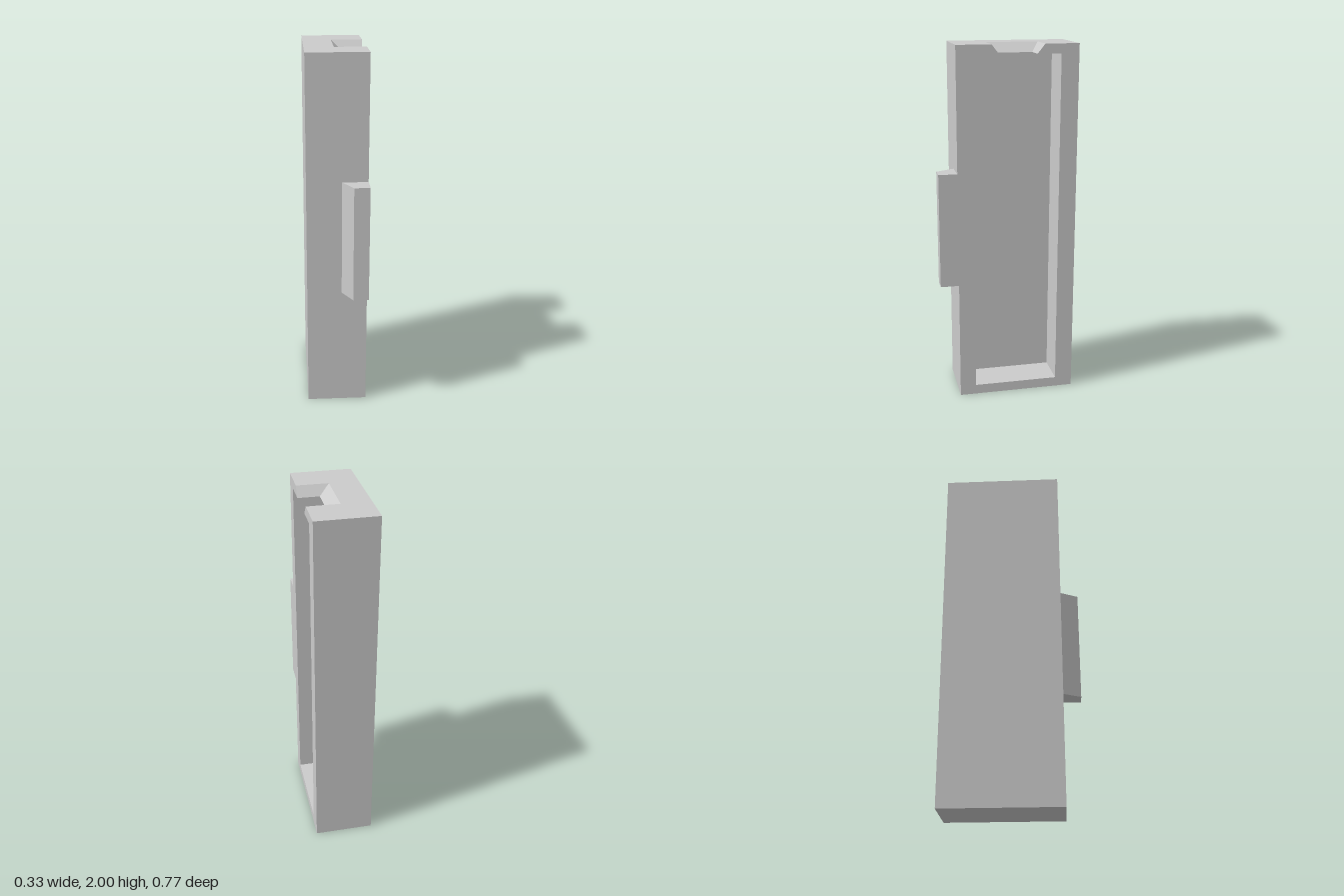
import * as THREE from 'three';

const material = new THREE.MeshStandardMaterial({ color: 0xcccccc, flatShading: true });

// Outer block, cavity open towards +x, and tapered notch in the top wall
const X0 = -0.166, X1 = 0.166, Z0 = -0.384, Z1 = 0.281, H = 2;
const cav = { x: -0.032, z0: -0.286, z1: 0.19, y0: 0.055, y1: 1.948 };
const wide = { x: -0.007, z0: -0.197, z1: 0.091 };
const narrow = { x: 0.049, z0: -0.155, z1: 0.05 };

// Triangulates a flat polygon and turns it to face the given axis direction
function addFace(out, points, axis, sign) {
  const pts = points.map(p => new THREE.Vector3(...p));
  const [u, v] = ['x', 'y', 'z'].filter(k => k !== axis);
  const flat = pts.map(p => new THREE.Vector2(p[u], p[v]));
  for (const [i, j, k] of THREE.ShapeUtils.triangulateShape(flat, [])) {
    const [a, b, c] = [pts[i], pts[j], pts[k]];
    const n = b.clone().sub(a).cross(c.clone().sub(a));
    const tri = n[axis] * sign > 0 ? [a, b, c] : [a, c, b];
    tri.forEach(p => out.push(p.x, p.y, p.z));
  }
}

function housingGeometry() {
  const out = [];
  const rectX = (x, y0, y1, z0, z1) => [[x, y0, z0], [x, y1, z0], [x, y1, z1], [x, y0, z1]];
  const rectY = (y, x0, x1, z0, z1) => [[x0, y, z0], [x1, y, z0], [x1, y, z1], [x0, y, z1]];
  const rectZ = (z, x0, x1, y0, y1) => [[x0, y0, z], [x1, y0, z], [x1, y1, z], [x0, y1, z]];
  // C-shaped horizontal face around the notch
  const cShape = (y, x0, z0, z1, n) => [
    [x0, y, z0], [X1, y, z0], [X1, y, n.z0], [n.x, y, n.z0],
    [n.x, y, n.z1], [X1, y, n.z1], [X1, y, z1], [x0, y, z1]];

  // outside
  addFace(out, rectX(X0, 0, H, Z0, Z1), 'x', -1);
  addFace(out, rectZ(Z1, X0, X1, 0, H), 'z', 1);
  addFace(out, rectZ(Z0, X0, X1, 0, H), 'z', -1);
  addFace(out, rectY(0, X0, X1, Z0, Z1), 'y', -1);
  addFace(out, cShape(H, X0, Z0, Z1, wide), 'y', 1);

  // rim around the opening, broken by the notch
  addFace(out, [
    [X1, 0, Z0], [X1, H, Z0], [X1, H, wide.z0], [X1, cav.y1, narrow.z0],
    [X1, cav.y1, cav.z0], [X1, cav.y0, cav.z0], [X1, cav.y0, cav.z1], [X1, cav.y1, cav.z1],
    [X1, cav.y1, narrow.z1], [X1, H, wide.z1], [X1, H, Z1], [X1, 0, Z1]], 'x', 1);

  // cavity
  addFace(out, rectX(cav.x, cav.y0, cav.y1, cav.z0, cav.z1), 'x', 1);
  addFace(out, rectZ(cav.z0, cav.x, X1, cav.y0, cav.y1), 'z', 1);
  addFace(out, rectZ(cav.z1, cav.x, X1, cav.y0, cav.y1), 'z', -1);
  addFace(out, rectY(cav.y0, cav.x, X1, cav.z0, cav.z1), 'y', 1);
  addFace(out, cShape(cav.y1, cav.x, cav.z0, cav.z1, narrow), 'y', -1);

  // sloping notch walls
  for (const side of ['z0', 'z1']) {
    addFace(out, [
      [wide.x, H, wide[side]], [X1, H, wide[side]],
      [X1, cav.y1, narrow[side]], [narrow.x, cav.y1, narrow[side]]], 'y', 1);
  }
  addFace(out, [
    [wide.x, H, wide.z0], [wide.x, H, wide.z1],
    [narrow.x, cav.y1, narrow.z1], [narrow.x, cav.y1, narrow.z0]], 'y', 1);

  const geometry = new THREE.BufferGeometry();
  geometry.setAttribute('position', new THREE.Float32BufferAttribute(out, 3));
  geometry.computeVertexNormals();
  return geometry;
}

// Tapered tab on the front wall, extruded upwards
function tabGeometry() {
  const shape = new THREE.Shape([
    [0.025, -Z1], [0.081, -0.384], [X1, -0.384], [X1, -Z1],
  ].map(p => new THREE.Vector2(...p)));
  const geometry = new THREE.ExtrudeGeometry(shape, { depth: 0.64, bevelEnabled: false });
  return geometry.rotateX(-Math.PI / 2).translate(0, 0.68, 0);
}

export function createModel() {
  const group = new THREE.Group();
  group.name = 'hollowHousing';
  const parts = { housing: housingGeometry(), frontTab: tabGeometry() };
  for (const [name, geometry] of Object.entries(parts)) {
    const mesh = new THREE.Mesh(geometry, material);
    mesh.name = name;
    group.add(mesh);
  }
  return group;
}
